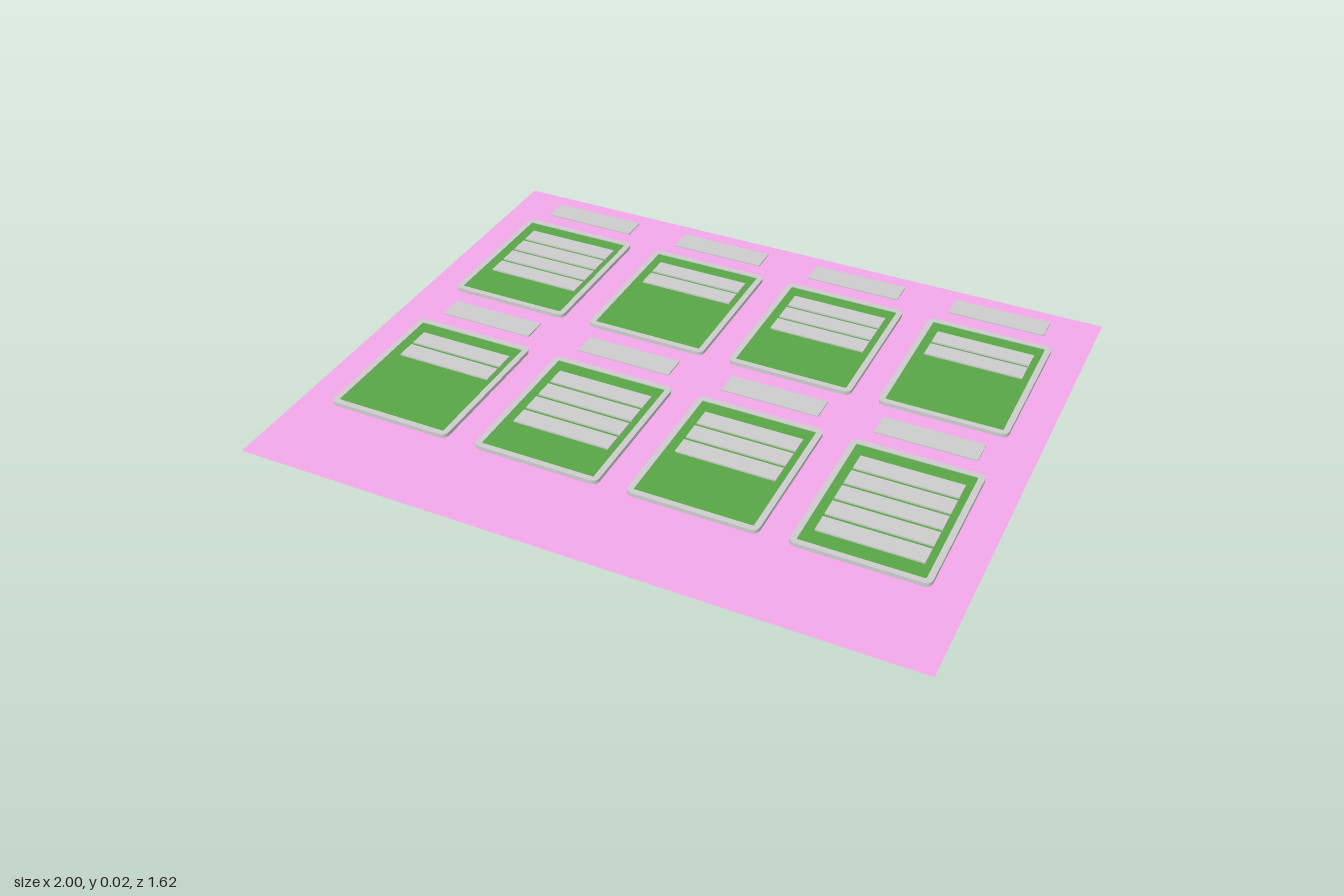
import * as THREE from 'three';

const grey = new THREE.MeshStandardMaterial({ color: 0xcccccc });
const green = new THREE.MeshStandardMaterial({ color: 0x58a546 });
const pink = new THREE.MeshStandardMaterial({ color: 0xf2a8ea, side: THREE.DoubleSide });

// Rounded rectangle centred on the origin
function roundedRect(path, w, d, r) {
  const x = w / 2, y = d / 2;
  path.moveTo(-x + r, -y);
  path.lineTo(x - r, -y);
  path.quadraticCurveTo(x, -y, x, -y + r);
  path.lineTo(x, y - r);
  path.quadraticCurveTo(x, y, x - r, y);
  path.lineTo(-x + r, y);
  path.quadraticCurveTo(-x, y, -x, y - r);
  path.lineTo(-x, -y + r);
  path.quadraticCurveTo(-x, -y, -x + r, -y);
  return path;
}

function addBox(parent, name, material, size, position) {
  const mesh = new THREE.Mesh(new THREE.BoxGeometry(...size), material);
  mesh.name = name;
  mesh.position.set(...position);
  parent.add(mesh);
}

const W = 0.385, D = 0.475, RIM = 0.018;

function frameGeometry() {
  const shape = roundedRect(new THREE.Shape(), W, D, 0.022);
  shape.holes.push(roundedRect(new THREE.Path(), W - 2 * RIM, D - 2 * RIM, 0.004));
  const g = new THREE.ExtrudeGeometry(shape, { depth: 0.012, bevelEnabled: false, curveSegments: 5 });
  return g.rotateX(-Math.PI / 2).translate(0, 0.002, 0);
}

export function createModel() {
  const model = new THREE.Group();

  // Base sheet
  const sheet = new THREE.Mesh(new THREE.PlaneGeometry(2, 1.62).rotateX(-Math.PI / 2), pink);
  sheet.name = 'baseSheet';
  model.add(sheet);

  // Two rows of four cards, each with a title plate and a list of bars
  const frameGeo = frameGeometry();
  const columns = [-0.71, -0.235, 0.235, 0.704];
  const barCentres = [-0.701, -0.23, 0.24, 0.708];
  const rows = [
    { z: -0.377, counts: [4, 2, 3, 2] },
    { z: 0.292, counts: [2, 4, 3, 5] },
  ];
  rows.forEach(({ z, counts }, r) => {
    counts.forEach((count, c) => {
      const card = new THREE.Group();
      card.name = `card${r + 1}_${c + 1}`;
      card.position.set(columns[c], 0, z);
      model.add(card);

      const frame = new THREE.Mesh(frameGeo, grey);
      frame.name = 'cardFrame';
      card.add(frame);
      addBox(card, 'cardPanel', green, [W - 2 * RIM, 0.01, D - 2 * RIM], [0, 0.006, 0]);

      const bx = barCentres[c] - columns[c];
      // Title plate behind the card
      addBox(card, 'titlePlate', grey, [0.3, 0.004, 0.076], [bx - 0.003, 0.014, -0.325]);
      // List bars
      for (let i = 0; i < count; i++) {
        addBox(card, 'listBar', grey, [0.3, 0.005, 0.058], [bx, 0.0135, -0.142 + i * 0.07]);
      }
    });
  });
  return model;
}
